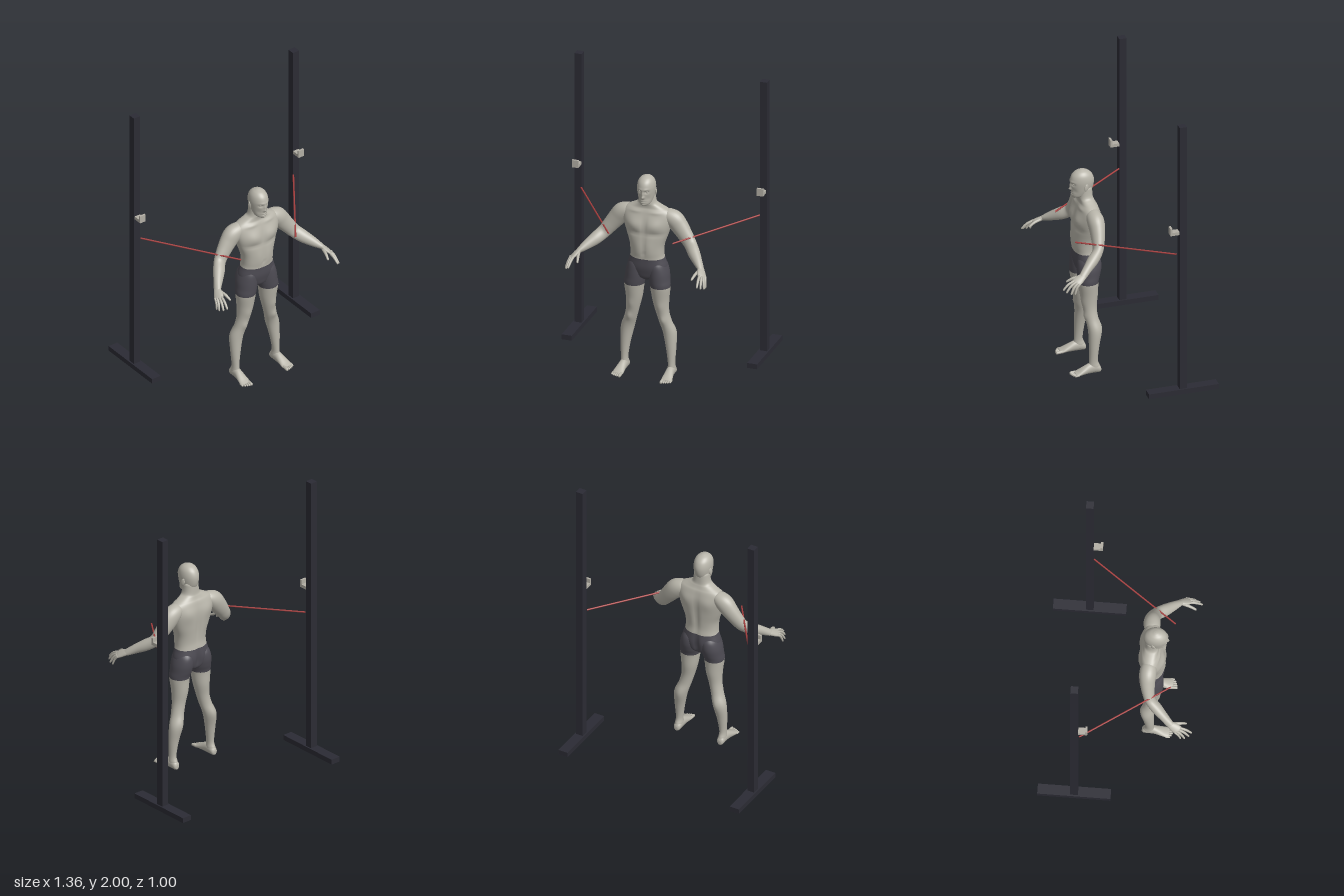
import * as THREE from 'three';

const V = (x, y, z) => new THREE.Vector3(x, y, z);
const mat = (name, color) => Object.assign(new THREE.MeshStandardMaterial({ color }), { name });

// Smooth closed body through rings [cx, cy, cz, halfU, halfV].
// axis: fixed ring normal (otherwise rings follow the path), ref: direction of halfU,
// split: ring index where the second material starts, bumps: [x, y, side, rx, ry, dz].
function loft(rings, { axis, ref = V(1, 0, 0), n = 24, steps = 5, power = 2, split = 0, bumps = [] } = {}) {
  const path = new THREE.CatmullRomCurve3(rings.map(r => V(r[0], r[1], r[2])), false, 'catmullrom');
  const size = new THREE.CatmullRomCurve3(rings.map(r => V(r[3], r[4], 0)), false, 'catmullrom');
  const rows = (rings.length - 1) * steps, pos = [], idx = [];
  const sup = c => Math.sign(c) * Math.abs(c) ** (2 / power);
  for (let i = 0; i <= rows; i++) {
    const c = path.getPoint(i / rows), s = size.getPoint(i / rows);
    const T = axis || path.getTangent(i / rows);
    const u = ref.clone().addScaledVector(T, -ref.dot(T)).normalize();
    const v = T.clone().cross(u);
    for (let j = 0; j < n; j++) {
      const a = (j / n) * Math.PI * 2;
      const p = c.clone().addScaledVector(u, sup(Math.cos(a)) * s.x).addScaledVector(v, sup(Math.sin(a)) * s.y);
      const side = p.z - c.z;
      let dz = 0;
      for (const [x, y, dir, rx, ry, d] of bumps) {
        if (side * dir <= 0) continue;
        const e = ((Math.abs(p.x) - x) / rx) ** 2 + ((p.y - y) / ry) ** 2;
        dz += d * Math.exp(-e) * Math.min(1, Math.abs(side) / (s.y * 0.5));
      }
      pos.push(p.x, p.y, p.z + dz);
    }
  }
  const first = path.getPoint(0), last = path.getPoint(1), cap = (rows + 1) * n;
  pos.push(first.x, first.y, first.z, last.x, last.y, last.z);
  for (let j = 0; j < n; j++) idx.push(cap, (j + 1) % n, j);
  for (let i = 0; i < rows; i++) for (let j = 0; j < n; j++) {
    const a = i * n + j, b = i * n + (j + 1) % n;
    idx.push(a, b, b + n, a, b + n, a + n);
  }
  for (let j = 0; j < n; j++) idx.push(cap + 1, rows * n + j, rows * n + (j + 1) % n);
  const g = new THREE.BufferGeometry();
  g.setAttribute('position', new THREE.Float32BufferAttribute(pos, 3));
  g.setIndex(idx);
  g.computeVertexNormals();
  if (split) {
    const cut = n * 3 + split * steps * n * 6;
    g.addGroup(0, cut, 0);
    g.addGroup(cut, idx.length - cut, 1);
  }
  return g;
}

// Copy reflected in x, with its faces turned back outwards
function reflect(geo) {
  const g = geo.clone().scale(-1, 1, 1), ix = g.index.array;
  for (let i = 0; i < ix.length; i += 3) [ix[i], ix[i + 1]] = [ix[i + 1], ix[i]];
  return g;
}

export function createModel() {
  const root = new THREE.Group();
  root.name = 'athleteWithBands';
  const skin = mat('skin', 0xb8b5aa), shorts = mat('shorts', 0x4d4b53);
  const steel = mat('postSteel', 0x2b2b34), hook = mat('hookMetal', 0xb2aea4), rubber = mat('bandRed', 0xa83f3f);

  const add = (name, geo, m) => {
    const mesh = new THREE.Mesh(geo, m);
    mesh.name = name;
    root.add(mesh);
  };
  const pair = (name, geo, m) => {
    add(name + 'Left', geo, m);
    add(name + 'Right', reflect(geo), m);
  };
  const box = (w, h, d, x, y, z) => new THREE.BoxGeometry(w, h, d).translate(x, y, z);
  const up = V(0, 1, 0), fwd = V(0, 0, 1);

  // Posts, floor feet and hooks
  pair('post', box(0.05, 1.94, 0.05, 0.645, 1.03, -0.257), steel);
  pair('postFoot', box(0.07, 0.035, 0.48, 0.645, 0.0475, -0.258), steel);
  pair('hookShelf', box(0.044, 0.022, 0.063, 0.643, 1.216, -0.203), hook);
  pair('hookLip', box(0.044, 0.052, 0.014, 0.643, 1.231, -0.178), hook);

  // Elastic bands
  const band = new THREE.LineCurve3(V(0.62, 1.04, -0.228), V(0.22, 1.018, 0.34));
  pair('band', new THREE.TubeGeometry(band, 1, 0.0055, 8), rubber);

  // Torso, from shorts up to neck
  add('torso', loft([
    [0, 0.685, 0.2, 0.03, 0.045], [0, 0.705, 0.2, 0.075, 0.066], [0, 0.74, 0.2, 0.125, 0.076],
    [0, 0.785, 0.202, 0.134, 0.083], [0, 0.845, 0.206, 0.116, 0.08], [0, 0.89, 0.211, 0.113, 0.08],
    [0, 0.945, 0.21, 0.119, 0.082], [0, 1.01, 0.205, 0.141, 0.083], [0, 1.07, 0.202, 0.16, 0.084],
    [0, 1.12, 0.198, 0.173, 0.078], [0, 1.16, 0.196, 0.172, 0.068], [0, 1.185, 0.195, 0.15, 0.06],
    [0, 1.2, 0.196, 0.122, 0.053], [0, 1.218, 0.2, 0.086, 0.05], [0, 1.24, 0.205, 0.06, 0.049],
    [0, 1.31, 0.205, 0.052, 0.046]],
    { axis: up, n: 64, steps: 4, power: 2.25, split: 4, bumps: [
      [0.07, 1.09, 1, 0.05, 0.04, 0.012], [0, 1.08, 1, 0.014, 0.06, -0.008],     // chest
      [0.07, 1.028, 1, 0.06, 0.014, -0.007], [0, 0.94, 1, 0.01, 0.08, -0.005],   // ribs and belly line
      [0.04, 0.93, 1, 0.022, 0.06, 0.003], [0, 0.885, 1, 0.008, 0.008, -0.006],  // belly
      [0, 1.0, -1, 0.018, 0.14, 0.012], [0.08, 1.11, -1, 0.045, 0.05, -0.008],   // spine and shoulder blades
      [0, 0.76, -1, 0.016, 0.06, 0.016], [0.07, 1.175, 1, 0.04, 0.01, 0.005]     // seat cleft, collar bones
    ] }), [shorts, skin]);

  // Head with sculpted face
  add('head', loft([
    [0, 1.232, 0.27, 0.014, 0.016], [0, 1.245, 0.247, 0.037, 0.047], [0, 1.265, 0.234, 0.047, 0.063],
    [0, 1.3, 0.225, 0.055, 0.074], [0, 1.35, 0.2245, 0.06, 0.081], [0, 1.39, 0.2255, 0.054, 0.07],
    [0, 1.415, 0.226, 0.038, 0.046], [0, 1.427, 0.226, 0.016, 0.018], [0, 1.43, 0.226, 0.002, 0.002]],
    { axis: up, n: 80, steps: 8, bumps: [
      [0.025, 1.337, 1, 0.013, 0.009, -0.011], [0.02, 1.354, 1, 0.02, 0.007, 0.004],  // eye sockets, brow
      [0, 1.298, 1, 0.01, 0.009, 0.015], [0, 1.318, 1, 0.007, 0.018, 0.009],          // nose
      [0, 1.27, 1, 0.017, 0.004, 0.004], [0, 1.258, 1, 0.015, 0.004, 0.004],          // lips
      [0, 1.264, 1, 0.018, 0.002, -0.003], [0, 1.241, 1, 0.014, 0.009, 0.005],        // mouth, chin
      [0.034, 1.285, 1, 0.012, 0.018, -0.004]                                         // cheeks
    ] }), skin);
  pair('eye', new THREE.SphereGeometry(0.0095, 16, 12).translate(0.024, 1.336, 0.284), skin);
  pair('ear', new THREE.SphereGeometry(1, 16, 12).scale(0.006, 0.026, 0.015)
    .rotateX(-0.2).rotateY(0.3).translate(0.06, 1.318, 0.212), skin);

  // Legs, shorts above the hem
  pair('leg', loft([
    [0.163, 0.02, 0.192, 0.024, 0.038], [0.163, 0.05, 0.192, 0.026, 0.038], [0.163, 0.095, 0.197, 0.024, 0.029],
    [0.158, 0.2, 0.191, 0.035, 0.035], [0.145, 0.307, 0.182, 0.046, 0.046], [0.12, 0.386, 0.196, 0.043, 0.043],
    [0.102, 0.46, 0.204, 0.045, 0.047], [0.092, 0.545, 0.206, 0.056, 0.059], [0.09, 0.64, 0.211, 0.068, 0.069],
    [0.082, 0.69, 0.205, 0.071, 0.077], [0.077, 0.74, 0.2, 0.07, 0.082], [0.072, 0.79, 0.2, 0.06, 0.078],
    [0.068, 0.825, 0.204, 0.045, 0.06]],
    { axis: up, n: 36, split: 8, bumps: [
      [0.117, 0.4, 1, 0.022, 0.025, 0.008], [0.105, 0.5, 1, 0.025, 0.03, 0.004], [0.135, 0.32, -1, 0.02, 0.05, -0.004]
    ] }), [skin, shorts]);

  // Feet and toes
  pair('foot', loft([
    [0.163, 0.022, 0.147, 0.012, 0.014], [0.163, 0.028, 0.158, 0.023, 0.027], [0.163, 0.038, 0.19, 0.027, 0.037],
    [0.164, 0.036, 0.23, 0.028, 0.035], [0.167, 0.026, 0.27, 0.033, 0.025], [0.169, 0.016, 0.305, 0.037, 0.015],
    [0.17, 0.012, 0.328, 0.034, 0.009]], { axis: fwd }), skin);
  for (let i = 0; i < 5; i++) {
    const r = i ? 0.0068 : 0.0105, x = i ? 0.147 + i * 0.0138 : 0.145, end = 0.357 - i * i * 0.0013;
    pair('toe' + (i + 1), loft([[x, 0.014, 0.305, r, r], [x, 0.012, end - 0.012, r, r],
      [x, 0.01, end - 0.003, r * 0.75, r * 0.75], [x, 0.01, end, r * 0.15, r * 0.15]], { axis: fwd, n: 10, steps: 3 }), skin);
  }

  // Arms
  pair('arm', loft([
    [0.11, 1.155, 0.19, 0.04, 0.035], [0.142, 1.146, 0.189, 0.052, 0.05], [0.18, 1.122, 0.187, 0.056, 0.062],
    [0.215, 1.08, 0.188, 0.051, 0.06], [0.258, 1.025, 0.196, 0.043, 0.052], [0.3, 0.972, 0.212, 0.035, 0.045],
    [0.342, 0.934, 0.258, 0.037, 0.042], [0.385, 0.902, 0.308, 0.03, 0.032], [0.422, 0.874, 0.35, 0.025, 0.019],
    [0.43, 0.867, 0.36, 0.02, 0.015]], { ref: V(0, 0.05, 1), n: 32 }), skin);

  // Hands: palm, then each finger as [base, tip, radius]
  pair('palm', loft([
    [0.41, 0.884, 0.335, 0.018, 0.014], [0.424, 0.873, 0.352, 0.024, 0.016], [0.437, 0.86, 0.38, 0.031, 0.015],
    [0.45, 0.847, 0.405, 0.032, 0.012], [0.455, 0.84, 0.415, 0.027, 0.008]], { ref: V(-0.033, 0.017, 0.038) }), skin);
  const fingers = {
    little: [V(0.468, 0.843, 0.388), V(0.483, 0.775, 0.425), 0.0075],
    ring: [V(0.461, 0.846, 0.4), V(0.482, 0.778, 0.452), 0.0085],
    middle: [V(0.451, 0.85, 0.412), V(0.468, 0.788, 0.48), 0.0085],
    index: [V(0.438, 0.855, 0.418), V(0.448, 0.8, 0.496), 0.0085],
    thumb: [V(0.417, 0.868, 0.37), V(0.396, 0.832, 0.46), 0.0095]
  };
  for (const [name, [a, b, r]] of Object.entries(fingers)) {
    const stops = [[0, 1.1], [0.45, 1.05], [0.85, 0.85], [0.97, 0.6], [1, 0.1]];
    pair(name + 'Finger', loft(stops.map(([t, k]) => {
      const p = a.clone().lerp(b, t);
      return [p.x, p.y + 0.03 * t * (1 - t), p.z + 0.02 * t * (1 - t), r * k, r * k];
    }), { n: 10, steps: 3 }), skin);
  }
  return root;
}
